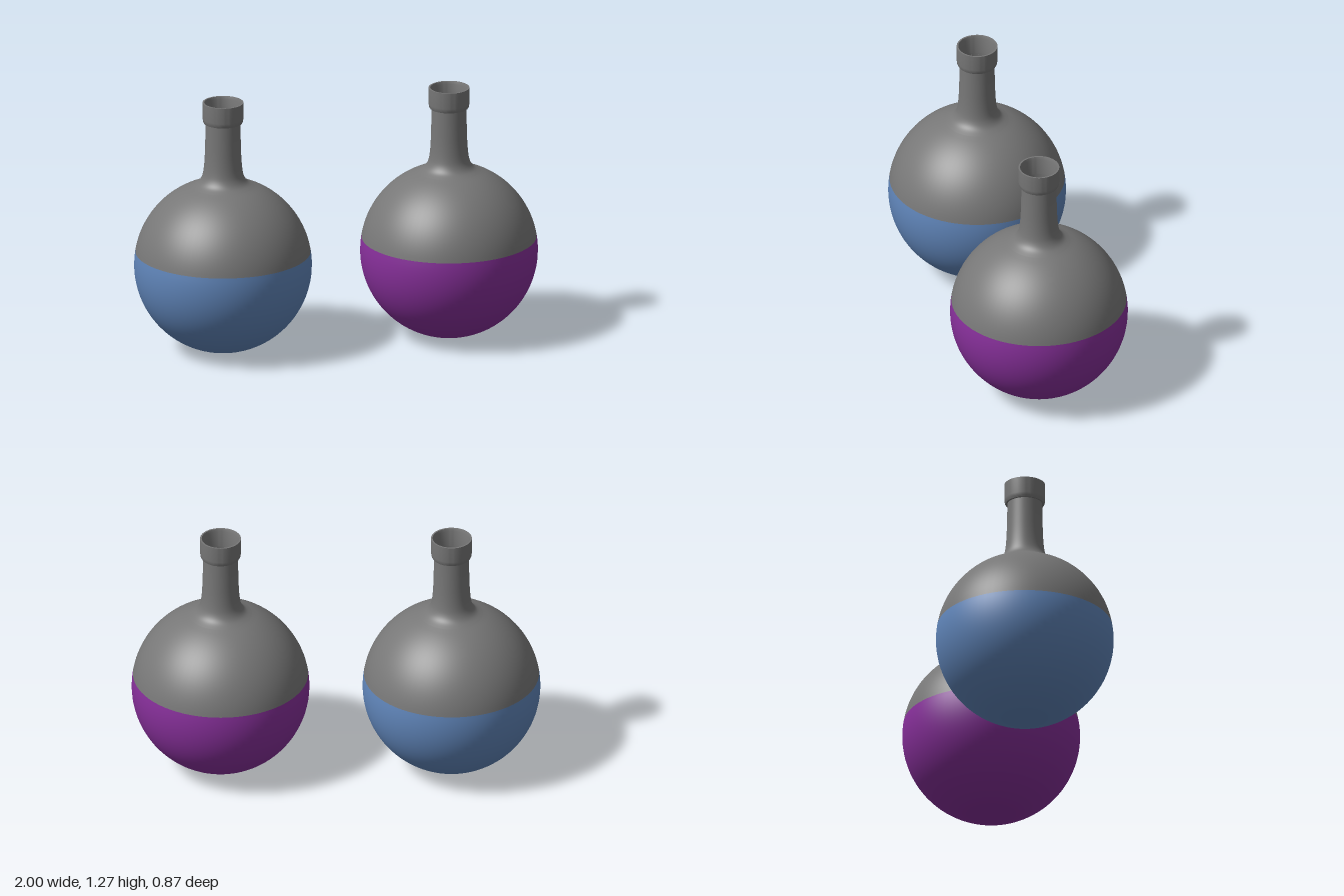
import * as THREE from 'three';
import { toCreasedNormals } from 'three/addons/utils/BufferGeometryUtils.js';

const R = 0.435, CY = 0.44, LEVEL = 0.51, SIDES = 72;
const V = (x, y) => new THREE.Vector2(x, y);

// Points on the round bulb between two heights, going upward
function bulbArc(y0, y1, steps) {
  const a0 = Math.asin((y0 - CY) / R), a1 = Math.asin((y1 - CY) / R);
  return Array.from({ length: steps + 1 }, (_, i) => {
    const a = a0 + (a1 - a0) * i / steps;
    return V(Math.max(0, R * Math.cos(a)), CY + R * Math.sin(a));
  });
}

function mesh(name, geometry, material) {
  const m = new THREE.Mesh(geometry, material);
  m.name = name;
  return m;
}

function createFlask(name, x, liquidColor) {
  const flask = new THREE.Group();
  flask.name = name;
  flask.position.x = x;
  const glass = new THREE.MeshStandardMaterial({ color: 0x777777, side: THREE.DoubleSide });
  const liquid = new THREE.MeshStandardMaterial({ color: liquidColor });

  // Upper bulb flowing into the neck
  const neck = new THREE.SplineCurve([
    V(0.157, 0.846), V(0.125, 0.864), V(0.106, 0.889), V(0.096, 0.925),
    V(0.09, 0.99), V(0.087, 1.08), V(0.085, 1.18),
  ]).getPoints(30);
  const profile = [...bulbArc(LEVEL, 0.836, 24), ...neck];
  flask.add(mesh('glassBody', new THREE.LatheGeometry(profile, SIDES), glass));

  // Thickened collar around the open mouth
  const collar = new THREE.LatheGeometry([
    V(0.085, 1.172), V(0.094, 1.172), V(0.098, 1.18), V(0.1, 1.195),
    V(0.1, 1.276), V(0.092, 1.276), V(0.088, 1.262), V(0.085, 1.18),
  ], SIDES);
  flask.add(mesh('mouthCollar', toCreasedNormals(collar, 0.6), glass));

  // Liquid filling the lower bulb, with a flat top surface
  flask.add(mesh('liquid', new THREE.LatheGeometry(bulbArc(CY - R, LEVEL, 40), SIDES), liquid));
  const surface = new THREE.CircleGeometry(Math.sqrt(R * R - (LEVEL - CY) ** 2), SIDES);
  surface.rotateX(-Math.PI / 2).translate(0, LEVEL, 0);
  flask.add(mesh('liquidSurface', surface, liquid));
  flask.position.y = -(CY - R);
  return flask;
}

export function createModel() {
  const model = new THREE.Group();
  model.name = 'flaskPair';
  model.add(createFlask('rightFlask', -0.565, 0x5f84b8));
  model.add(createFlask('leftFlask', 0.565, 0x862f99));
  return model;
}
